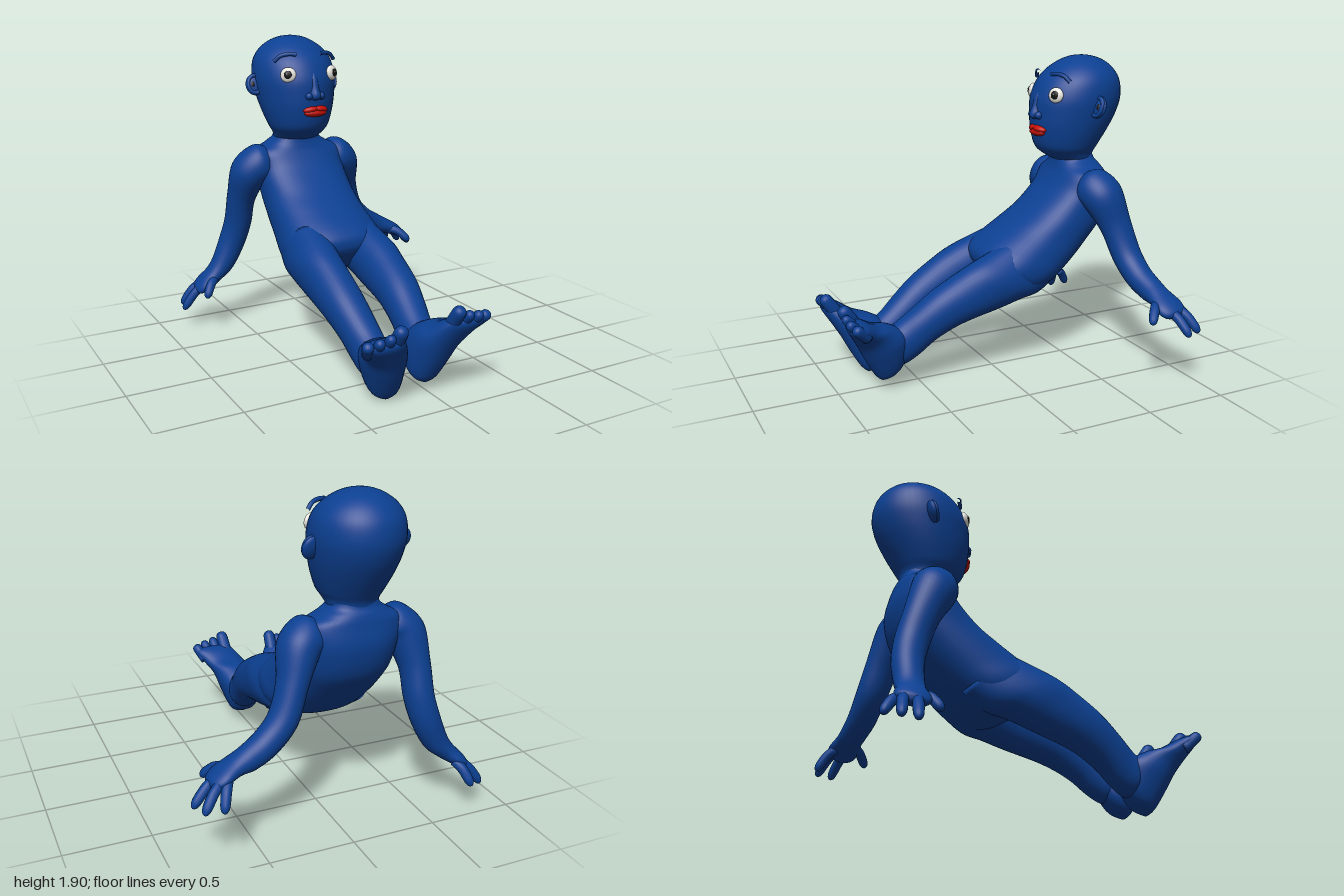
import * as THREE from 'three';

const mat = (name, color) => Object.assign(new THREE.MeshStandardMaterial({ color }), { name });
const V = (x, y, z) => new THREE.Vector3(x, y, z);

// Smooth closed skin through elliptical rings { c, a, b } (centre and two half axes)
function loft(rings, { around = 32, steps = 6, square = 1 } = {}) {
  const curve = k => new THREE.CatmullRomCurve3(rings.map(r => r[k]), false, 'catmullrom', 0.5);
  const [C, A, B] = ['c', 'a', 'b'].map(curve);
  const rows = (rings.length - 1) * steps;
  const soft = v => Math.sign(v) * Math.abs(v) ** square;
  const pos = [], idx = [];
  for (let i = 0; i <= rows; i++) {
    const t = i / rows, c = C.getPoint(t), a = A.getPoint(t), b = B.getPoint(t);
    for (let j = 0; j < around; j++) {
      const th = j / around * Math.PI * 2;
      pos.push(...c.clone().addScaledVector(a, soft(Math.cos(th))).addScaledVector(b, soft(Math.sin(th))).toArray());
    }
  }
  const p0 = pos.length / 3;
  pos.push(...rings[0].c.toArray(), ...rings.at(-1).c.toArray());
  const mid = rings[rings.length >> 1];
  const dir = rings.at(-1).c.clone().sub(rings[0].c);
  const flip = mid.a.clone().cross(mid.b).dot(dir) < 0;
  const tri = (a, b, c) => flip ? idx.push(a, c, b) : idx.push(a, b, c);
  for (let j = 0; j < around; j++) {
    const k = (j + 1) % around, last = rows * around;
    for (let i = 0; i < rows; i++) {
      const r = i * around, s = r + around;
      tri(r + j, r + k, s + j);
      tri(r + k, s + k, s + j);
    }
    tri(p0, k, j);
    tri(p0 + 1, last + j, last + k);
  }
  const g = new THREE.BufferGeometry();
  g.setAttribute('position', new THREE.Float32BufferAttribute(pos, 3));
  g.setIndex(idx);
  g.computeVertexNormals();
  return g;
}

// Ring from centre x, half width, front point (z, y) and back point (z, y)
const sec = ([cx, hw, zf, yf, zb, yb]) => ({
  c: V(cx, (yf + yb) / 2, (zf + zb) / 2), a: V(hw, 0, 0), b: V(0, (yf - yb) / 2, (zf - zb) / 2),
});
// Rings along a path of [x, y, z, half width, half thickness]
function limb(pts) {
  const P = pts.map(p => V(p[0], p[1], p[2]));
  return pts.map((p, i) => {
    const t = P[Math.min(i + 1, P.length - 1)].clone().sub(P[Math.max(i - 1, 0)]).normalize();
    const a = V(0, 0, 1).addScaledVector(t, -t.z).normalize();
    const b = t.clone().cross(a);
    return { c: P[i], a: a.multiplyScalar(p[3]), b: b.multiplyScalar(p[4] ?? p[3]) };
  });
}
// Round-tipped finger or toe, slightly arched
function digit(from, to, r, lift) {
  const shape = [[0, 1], [0.45, 1], [0.8, 0.95], [0.93, 0.72], [0.985, 0.38], [1, 0.08]];
  const A = V(...from), B = V(...to);
  return loft(limb(shape.map(([t, s]) => {
    const p = A.clone().lerp(B, t);
    return [p.x, p.y + lift * Math.sin(t * Math.PI), p.z, r * s];
  })), { around: 14, steps: 4 });
}

export function createModel() {
  const skin = mat('blue skin', 0x0c4092), red = mat('red lips', 0xc41008);
  const white = mat('eye white', 0xe9e8e2), dark = mat('dark pupil', 0x14120f);
  const grey = mat('grey glint', 0x77777a);
  const model = new THREE.Group();
  model.name = 'recliningFigure';
  const add = (name, geo, m = skin, parent = model) => {
    const mesh = new THREE.Mesh(geo, m);
    mesh.name = name;
    parent.add(mesh);
    return mesh;
  };
  const blob = (name, m, p, s, parent) => {
    const mesh = add(name, new THREE.SphereGeometry(1, 28, 18), m, parent);
    mesh.position.set(...p);
    mesh.scale.set(...s);
    return mesh;
  };

  // Head
  const headRows = [
    [1.25, 0.14, -0.53, -0.76], [1.30, 0.16, -0.44, -0.77], [1.35, 0.19, -0.39, -0.80],
    [1.45, 0.225, -0.365, -0.865], [1.55, 0.248, -0.358, -0.92], [1.65, 0.26, -0.365, -0.95],
    [1.75, 0.247, -0.41, -0.94], [1.82, 0.205, -0.475, -0.90], [1.87, 0.14, -0.55, -0.84],
    [1.897, 0.075, -0.62, -0.77], [1.906, 0.015, -0.69, -0.71]];
  add('head', loft(headRows.map(([y, w, f, b]) => sec([-0.14, w, f, y, b, y])), { around: 44 }));

  // Nose with nostril wings
  const noseRows = [[1.70, 0.02, -0.385], [1.66, 0.03, -0.362], [1.60, 0.033, -0.343],
    [1.56, 0.042, -0.327], [1.535, 0.04, -0.332], [1.522, 0.015, -0.36]];
  add('nose', loft(noseRows.map(([y, w, f]) => sec([-0.127, w, f, y, -0.45, y])), { around: 20 }));
  for (const s of [-1, 1]) blob('nostril', skin, [-0.127 + s * 0.042, 1.55, -0.368], [0.024, 0.024, 0.028]);

  // Lips
  for (const s of [-1, 1]) {
    const lip = blob('upperLip', red, [-0.122 + s * 0.035, 1.466, -0.378], [0.053, 0.022, 0.035]);
    lip.rotation.set(0, s * 0.25, -s * 0.12);
  }
  blob('lowerLip', red, [-0.122, 1.444, -0.38], [0.078, 0.026, 0.04]);

  // Eyes, brows and ears
  for (const s of [-1, 1]) {
    const eye = new THREE.Group();
    eye.name = s > 0 ? 'leftEye' : 'rightEye';
    eye.position.set(-0.13 + s * 0.15, 1.682, -0.425);
    eye.rotation.set(-0.12, s * 0.55, 0, 'YXZ');
    blob('eyeball', white, [0, 0, 0], [0.049, 0.047, 0.024], eye);
    blob('pupil', dark, [0, 0, 0.019], [0.025, 0.025, 0.009], eye);
    blob('glint', grey, [-0.005, 0.005, 0.026], [0.007, 0.007, 0.004], eye);
    model.add(eye);

    const brow = new THREE.CatmullRomCurve3([[0.205, 1.762, -0.495], [0.17, 1.795, -0.475],
      [0.125, 1.806, -0.455], [0.08, 1.803, -0.437]].map(([x, y, z]) => V(-0.138 + s * x, y, z)));
    add('eyebrow', new THREE.TubeGeometry(brow, 20, 0.013, 8));

    const ear = new THREE.Group();
    ear.name = s > 0 ? 'leftEar' : 'rightEar';
    ear.position.set(-0.14 + s * 0.262, 1.605, -0.67);
    ear.rotation.set(-0.3, s * 0.15, 0);
    blob('earLobe', skin, [0, 0, 0], [0.058, 0.068, 0.026], ear);
    const rim = add('earRim', new THREE.TorusGeometry(0.05, 0.013, 10, 32), skin, ear);
    rim.scale.set(0.85, 1.1, 1);
    rim.position.z = 0.014;
    blob('earHollow', dark, [s * 0.014, 0, 0.02], [0.013, 0.022, 0.008], ear);
    model.add(ear);
  }

  // Torso, leaning back from neck to hips
  add('torso', loft([
    [-0.14, 0.13, -0.53, 1.33, -0.75, 1.33], [-0.14, 0.148, -0.515, 1.27, -0.765, 1.27],
    [-0.135, 0.20, -0.505, 1.225, -0.785, 1.235], [-0.13, 0.285, -0.485, 1.175, -0.80, 1.18],
    [-0.125, 0.29, -0.42, 1.085, -0.82, 1.05], [-0.12, 0.29, -0.285, 0.97, -0.78, 0.89],
    [-0.12, 0.295, -0.15, 0.885, -0.68, 0.76], [-0.115, 0.308, -0.04, 0.82, -0.55, 0.63],
    [-0.113, 0.322, 0.02, 0.775, -0.40, 0.515], [-0.113, 0.30, 0.055, 0.73, -0.26, 0.47],
    [-0.113, 0.20, 0.06, 0.68, -0.15, 0.48], [-0.113, 0.06, 0.045, 0.64, -0.05, 0.53],
  ].map(sec), { around: 44, square: 0.85 }));

  // Legs and feet, mirrored across the body; the right foot rests a little lower
  for (const s of [-1, 1]) {
    const side = s > 0 ? 'left' : 'right';
    const mx = x => -0.123 + s * (x + 0.123);
    const place = rows => rows.map(([x, w, zf, yf, zb, yb, drop = 0.045]) => {
      const d = s > 0 ? 0 : drop;
      return sec([mx(x), w, zf, yf - d, zb, yb - d]);
    });
    add(side + 'Leg', loft(place([
      [0.05, 0.12, -0.10, 0.81, -0.42, 0.56, 0], [0.062, 0.14, 0.05, 0.75, -0.28, 0.475, 0],
      [0.07, 0.14, 0.15, 0.71, -0.15, 0.45, 0.005], [0.068, 0.132, 0.25, 0.66, -0.01, 0.412, 0.01],
      [0.06, 0.122, 0.41, 0.57, 0.24, 0.35, 0.025], [0.045, 0.11, 0.54, 0.47, 0.40, 0.275, 0.035],
      [0.032, 0.103, 0.62, 0.41, 0.51, 0.19], [0.022, 0.10, 0.70, 0.35, 0.60, 0.14],
      [0.02, 0.05, 0.74, 0.28, 0.67, 0.14],
    ]), { square: 0.95 }));
    add(side + 'Foot', loft(place([
      [0.005, 0.02, 0.735, 0.05, 0.705, 0.06], [0.007, 0.075, 0.76, 0.07, 0.63, 0.11],
      [0.012, 0.105, 0.79, 0.11, 0.58, 0.20], [0.03, 0.125, 0.84, 0.20, 0.585, 0.33],
      [0.05, 0.128, 0.885, 0.29, 0.68, 0.40], [0.09, 0.13, 0.93, 0.37, 0.78, 0.43],
      [0.13, 0.13, 0.965, 0.43, 0.86, 0.475], [0.14, 0.11, 0.97, 0.46, 0.90, 0.49],
      [0.145, 0.04, 0.96, 0.475, 0.92, 0.49],
    ]), { square: 0.9 }));
    const toes = [[0.05, 0.06, 0.56, 0.985, 0.041], [0.11, 0.125, 0.525, 0.99, 0.031],
      [0.165, 0.19, 0.51, 0.985, 0.031], [0.21, 0.255, 0.495, 0.965, 0.033]];
    const drop = s > 0 ? 0 : 0.045;
    for (const [x0, x1, y, z, r] of toes)
      add(side + 'Toe', digit([mx(x0), 0.41 - drop, 0.88], [mx(x1), y - drop, z], r, 0));
  }

  // Arms with flattened hands; each is posed differently
  const arms = {
    left: {
      path: [[0.05, 1.13, -0.63, 0.07], [0.12, 1.115, -0.64, 0.125], [0.195, 1.06, -0.67, 0.132, 0.12],
        [0.255, 0.89, -0.73, 0.102, 0.088], [0.325, 0.715, -0.77, 0.092, 0.085], [0.43, 0.605, -0.79, 0.085, 0.082],
        [0.54, 0.545, -0.808, 0.078, 0.074], [0.62, 0.52, -0.815, 0.08, 0.056], [0.70, 0.485, -0.825, 0.095, 0.045],
        [0.75, 0.455, -0.835, 0.075, 0.034], [0.77, 0.44, -0.84, 0.02, 0.01]],
      digits: [[[0.68, 0.48, -0.88], [0.735, 0.345, -0.975]], [[0.71, 0.475, -0.87], [0.835, 0.345, -0.95]],
        [[0.71, 0.475, -0.81], [0.87, 0.345, -0.86]], [[0.65, 0.50, -0.77], [0.76, 0.415, -0.67]]],
    },
    right: {
      path: [[-0.31, 1.13, -0.62, 0.07], [-0.38, 1.115, -0.63, 0.125], [-0.46, 1.05, -0.66, 0.13, 0.12],
        [-0.492, 0.88, -0.73, 0.102, 0.09], [-0.50, 0.71, -0.78, 0.095, 0.087], [-0.535, 0.57, -0.808, 0.088, 0.085],
        [-0.60, 0.43, -0.815, 0.08, 0.074], [-0.665, 0.355, -0.82, 0.08, 0.056], [-0.73, 0.30, -0.83, 0.095, 0.045],
        [-0.77, 0.265, -0.845, 0.075, 0.034], [-0.785, 0.25, -0.85, 0.02, 0.01]],
      digits: [[[-0.70, 0.30, -0.885], [-0.76, 0.175, -0.985]], [[-0.735, 0.29, -0.88], [-0.86, 0.14, -0.92]],
        [[-0.74, 0.29, -0.81], [-0.875, 0.13, -0.84]], [[-0.68, 0.335, -0.77], [-0.765, 0.235, -0.69]]],
    },
  };
  for (const [side, { path, digits }] of Object.entries(arms)) {
    add(side + 'Arm', loft(limb(path)));
    digits.forEach(([a, b], i) => add(side + (i < 3 ? 'Finger' : 'Thumb'), digit(a, b, 0.029, 0.022)));
  }
  return model;
}
